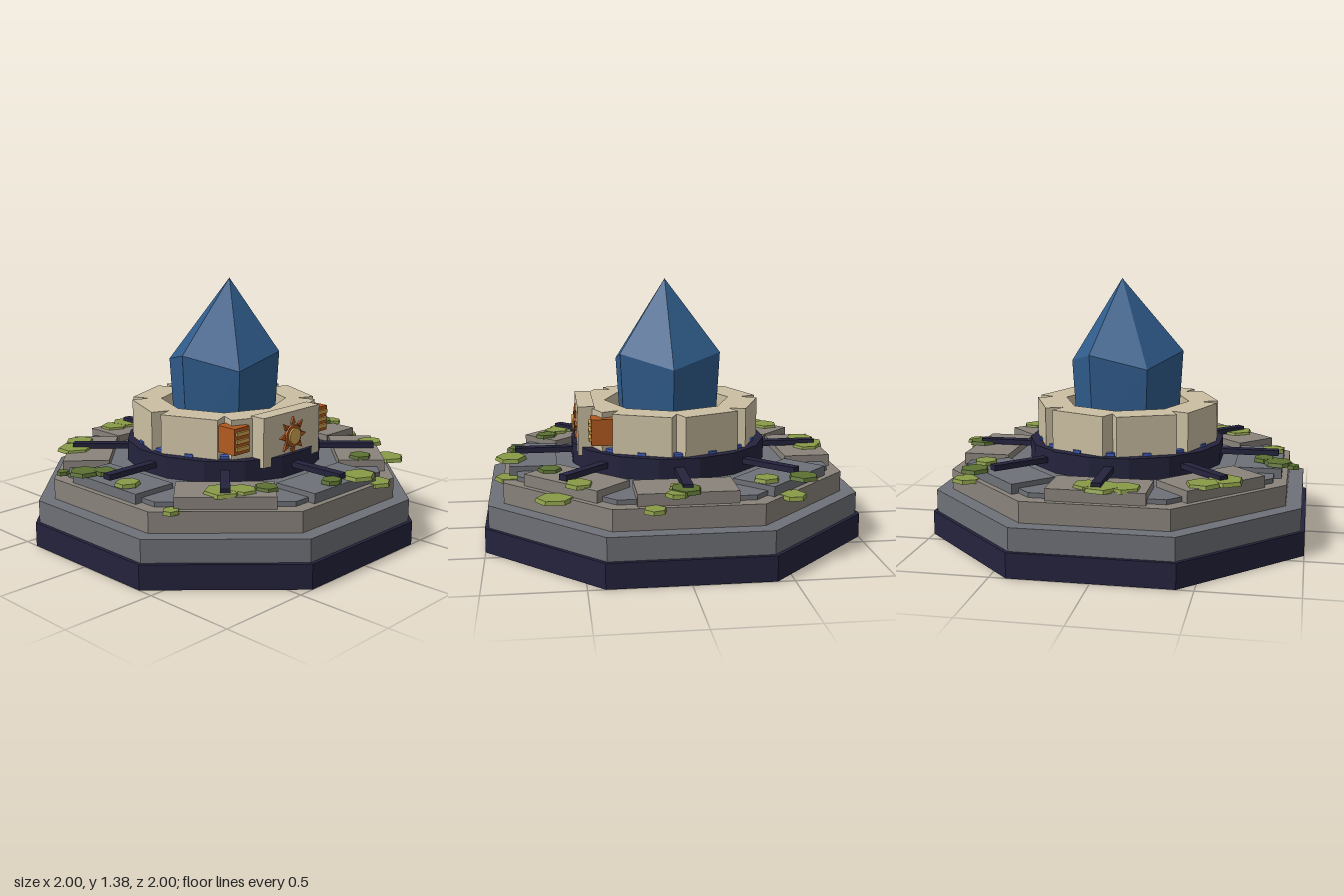
import * as THREE from 'three';

const paint = (name, color) => Object.assign(new THREE.MeshStandardMaterial({ color }), { name });

export function createModel() {
  const navy = paint('navy', 0x24233d), coolStone = paint('coolStone', 0x6e7177);
  const warmStone = paint('warmStone', 0x89837b), cream = paint('cream', 0xcbbfa2);
  const crystalBlue = paint('crystalBlue', 0x305c8c), glowBlue = paint('glowBlue', 0x4059b4);
  const orange = paint('orange', 0xb25a20), gold = paint('gold', 0xd6a552);
  const moss = paint('moss', 0x8a9b48), darkMoss = paint('darkMoss', 0x5c7234);

  const model = new THREE.Group();
  model.name = 'crystalShrine';

  // Flat-shaded mesh helper
  function add(name, geometry, material, x = 0, y = 0, z = 0, turn = 0) {
    const geo = geometry.index ? geometry.toNonIndexed() : geometry;
    geo.computeVertexNormals();
    const mesh = new THREE.Mesh(geo, material);
    mesh.name = name;
    mesh.position.set(x, y, z);
    mesh.rotation.y = turn;
    model.add(mesh);
    return mesh;
  }
  // Upright prism given by its apothem, with a flat side to the front
  function prism(name, apothem, y0, y1, sides, material) {
    const r = apothem / Math.cos(Math.PI / sides);
    add(name, new THREE.CylinderGeometry(r, r, y1 - y0, sides), material, 0, (y0 + y1) / 2, 0, Math.PI / sides);
  }
  // Box at a polar position, with its x side pointing outwards
  function radialBox(name, r, angle, y0, y1, depth, width, material) {
    add(name, new THREE.BoxGeometry(depth, y1 - y0, width), material,
      r * Math.cos(angle), (y0 + y1) / 2, r * Math.sin(angle), -angle);
  }

  // Stepped octagonal base
  prism('foundation', 1, 0, 0.13, 8, navy);
  prism('lowerTier', 0.98, 0.13, 0.25, 8, coolStone);
  prism('middleTier', 0.9, 0.25, 0.36, 8, warmStone);
  prism('upperTier', 0.83, 0.36, 0.385, 8, coolStone);

  // Paving slabs, spokes and wall blocks
  const coolSlabs = [2, 4, 7];
  for (let i = 0; i < 8; i++) {
    const a = i * Math.PI / 4;
    const cool = coolSlabs.includes(i);
    radialBox('pavingSlab', 0.745, a, 0.36, cool ? 0.412 : 0.422, 0.25, 0.5, cool ? coolStone : warmStone);
    radialBox('spoke', 0.68, a, 0.425, 0.455, 0.33, 0.05, navy);
    radialBox('wallBlock', 0.4, a + Math.PI / 8, 0.5, 0.71, 0.16, 0.32, cream);
  }

  // Round plinth with glowing floor and lamps
  prism('plinth', 0.53, 0.38, 0.5, 16, navy);
  prism('glowingFloor', 0.465, 0.5, 0.51, 16, glowBlue);
  for (let i = 0; i < 16; i++) {
    radialBox('lamp', 0.475, i * Math.PI / 8, 0.5, 0.515, 0.03, 0.045, glowBlue);
  }

  // Crystal: tapered hexagon with zigzag shoulder and off-centre tip
  const ring = (r, yEven, yOdd) => Array.from({ length: 6 }, (_, i) => {
    const a = i * Math.PI / 3;
    return [r * Math.cos(a), i % 2 ? yOdd : yEven, r * Math.sin(a)];
  });
  const foot = ring(0.285, 0.5, 0.5), shoulder = ring(0.313, 0.92, 0.99), tip = [0.03, 1.38, 0.015];
  const points = [];
  for (let i = 0; i < 6; i++) {
    const j = (i + 1) % 6;
    points.push(...foot[i], ...shoulder[i], ...foot[j]);
    points.push(...shoulder[i], ...shoulder[j], ...foot[j]);
    points.push(...shoulder[i], ...tip, ...shoulder[j]);
  }
  const crystal = new THREE.BufferGeometry();
  crystal.setAttribute('position', new THREE.Float32BufferAttribute(points, 3));
  add('crystal', crystal, crystalBlue);

  // Front gate with sun emblem
  add('gate', new THREE.BoxGeometry(0.445, 0.265, 0.09), cream, 0, 0.5875, 0.46);
  const disc = (r, depth) => new THREE.CylinderGeometry(r, r, depth, 16).rotateX(Math.PI / 2);
  add('sunRim', disc(0.06, 0.015), orange, 0, 0.59, 0.5125);
  add('sunFace', disc(0.044, 0.025), gold, 0, 0.59, 0.5175);
  const ray = new THREE.Shape([[-0.016, 0.066], [0.016, 0.066], [0, 0.103]].map(p => new THREE.Vector2(...p)));
  for (let i = 0; i < 8; i++) {
    const geo = new THREE.ExtrudeGeometry(ray, { depth: 0.012, bevelEnabled: false });
    add('sunRay', geo.rotateZ(i * Math.PI / 4), orange, 0, 0.59, 0.504);
  }

  // Louvred vents either side of the gate
  for (const s of [-1, 1]) {
    add('vent', new THREE.BoxGeometry(0.11, 0.14, 0.125), orange, s * 0.315, 0.61, 0.3775);
    for (const y of [0.57, 0.61, 0.65]) {
      add('ventSlat', new THREE.BoxGeometry(0.09, 0.02, 0.015), gold, s * 0.315, y, 0.445);
    }
  }

  // Moss patches: x, z, radius; high ones lie on slabs, low ones on the tier edge
  function patches(name, list, y, material) {
    list.forEach(([x, z, r], i) => {
      const geo = new THREE.CylinderGeometry(r * 0.92, r, 0.02, 6);
      geo.scale(1, 1, 0.9 + 0.1 * (i % 3));
      add(name, geo, material, x, y + 0.0008 * (i % 4), z, (i % 2) * 0.3);
    });
  }
  patches('mossPatch', [
    [-0.13, -0.8, 0.09], [-0.02, -0.81, 0.1], [0.06, -0.79, 0.07], [-0.5, -0.67, 0.09], [-0.6, -0.58, 0.1],
    [0.69, -0.42, 0.065], [-0.81, 0.12, 0.07], [0.79, 0.04, 0.05], [0.9, 0.06, 0.055],
    [0.67, 0.52, 0.08], [-0.57, 0.55, 0.1], [-0.49, 0.61, 0.07], [0.11, 0.865, 0.095],
  ], 0.424, moss);
  patches('darkMossPatch', [
    [-0.93, -0.25, 0.035], [-0.85, -0.18, 0.08], [-0.77, -0.11, 0.06], [0.84, 0.01, 0.09],
    [0.39, 0.66, 0.065], [-0.38, 0.67, 0.06], [-0.07, 0.83, 0.06], [0.69, -0.61, 0.08],
  ], 0.427, darkMoss);
  patches('edgeMoss', [
    [0.76, -0.54, 0.08], [0.92, 0.17, 0.06], [0.68, 0.64, 0.09], [-0.81, 0.44, 0.05], [0.26, 0.87, 0.08],
  ], 0.354, moss);

  return model;
}
